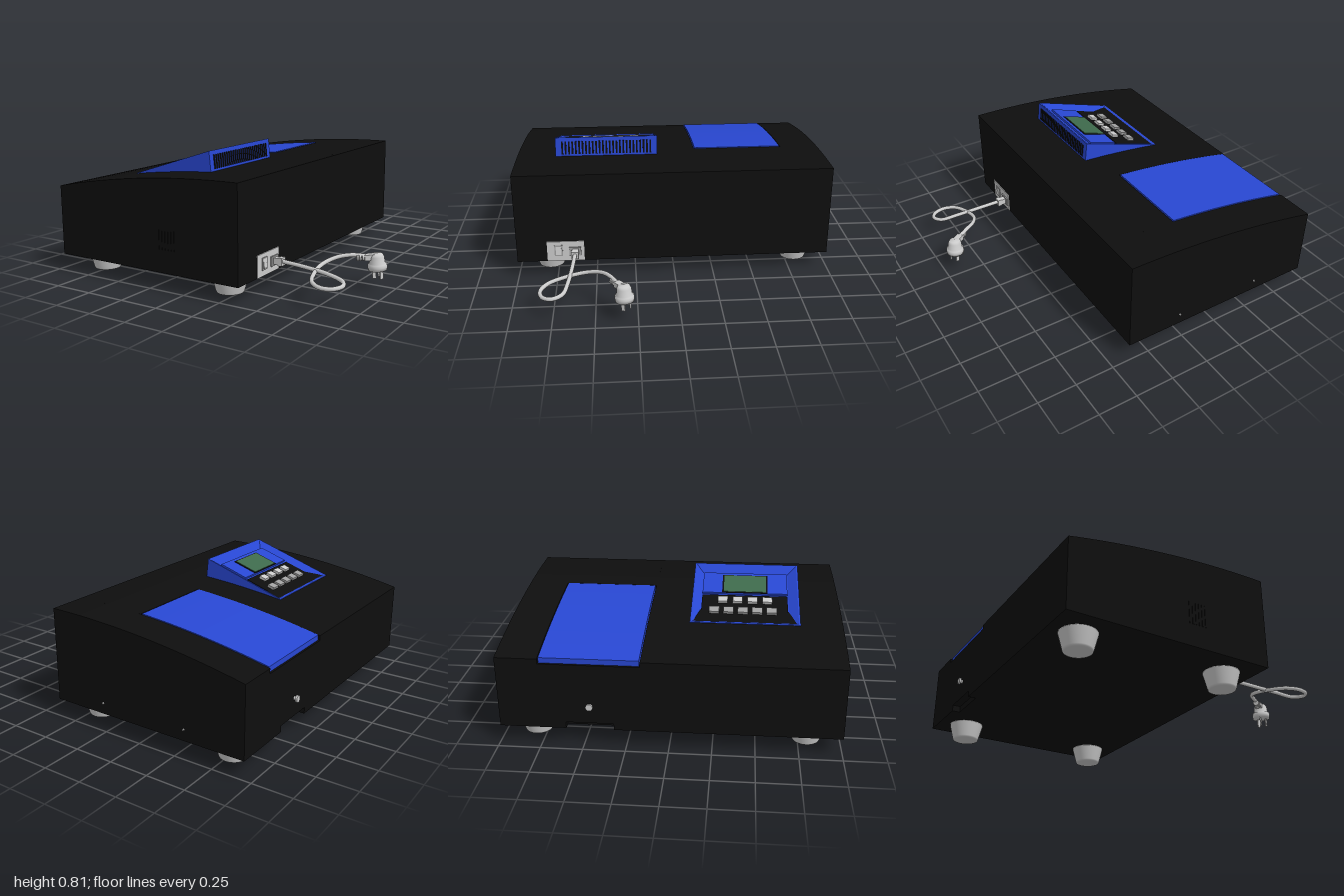
import * as THREE from 'three';

const mat = (color) => new THREE.MeshStandardMaterial({ color });
const GREY = mat(0xcccccc), BLACK = mat(0x0e0e0e), BLUE = mat(0x2847d2), GREEN = mat(0x3e6a4c), BUTTON = mat(0xa0a0a0);

function add(parent, name, geo, material, x = 0, y = 0, z = 0) {
  const m = new THREE.Mesh(geo, material);
  m.name = name;
  m.position.set(x, y, z);
  parent.add(m);
  return m;
}
const box = (w, h, d) => new THREE.BoxGeometry(w, h, d);
const cyl = (r0, r1, h, n = 24) => new THREE.CylinderGeometry(r0, r1, h, n);

// Curved top of the housing
const topY = (x) => 0.697 - 0.0826 * (x - 0.38) ** 2;
function curve(x0, x1, drop = 0, n = 20) {
  return Array.from({ length: n + 1 }, (_, i) => {
    const x = x0 + ((x1 - x0) * i) / n;
    return new THREE.Vector2(x, topY(x) - drop);
  });
}
function slab(points, z0, z1) {
  const geo = new THREE.ExtrudeGeometry(new THREE.Shape(points), { depth: z1 - z0, bevelEnabled: false });
  return geo.translate(0, 0, z0);
}
// Side outline, optionally with the lid recess and the notch under the left edge
function housingOutline(lid, notch) {
  const v = (x, y) => new THREE.Vector2(x, y);
  const base = notch ? [v(-0.95, 0.15), v(-0.9, 0.15), v(-0.9, 0.11)] : [v(-0.95, 0.11)];
  const top = lid ? [...curve(0.38, -0.075), ...curve(-0.075, -0.95, 0.03)] : curve(0.38, -0.95);
  return [...base, v(0.38, 0.11), ...top];
}

// Flat-faced skin through four-cornered loops [x0, y0, x1, y1, z0, z1], capped at the end
function loft(loops) {
  const rings = loops.map(([x0, y0, x1, y1, z0, z1]) => [[x0, y0, z1], [x1, y1, z1], [x1, y1, z0], [x0, y0, z0]]);
  const pos = [];
  const quad = (a, b, c, d) => pos.push(...a, ...b, ...c, ...a, ...c, ...d);
  for (let k = 0; k < rings.length - 1; k++) {
    for (let i = 0; i < 4; i++) {
      const j = (i + 1) % 4;
      quad(rings[k][i], rings[k][j], rings[k + 1][j], rings[k + 1][i]);
    }
  }
  quad(...rings[rings.length - 1]);
  const g = new THREE.BufferGeometry();
  g.setAttribute('position', new THREE.Float32BufferAttribute(pos, 3));
  g.computeVertexNormals();
  return g;
}

function buildConsole() {
  const g = new THREE.Group();
  g.name = 'controlConsole';
  const a = Math.atan2(0.18, 0.555), c = Math.cos(a), s = Math.sin(a);
  const at = (u, v) => [-0.54 + u * c - v * s, 0.63 + u * s + v * c];
  add(g, 'consoleShell', loft([
    [-0.54, 0.6, 0.03, 0.66, 0.09, 0.75],
    [-0.54, 0.63, 0.015, 0.81, 0.09, 0.75],
    [...at(0.01, 0), ...at(0.573, 0), 0.1, 0.74],
    [...at(0.055, -0.03), ...at(0.52, -0.03), 0.145, 0.685],
  ]), BLUE);

  // Sloping face: keypad, display and buttons
  const face = new THREE.Group();
  face.name = 'consoleFace';
  face.position.set(-0.54, 0.63, 0);
  face.rotation.z = a;
  g.add(face);
  const u = (x) => (x + 0.54) / c - 0.008;
  add(face, 'keypadPanel', box(0.22, 0.008, 0.53), BLACK, u(-0.36), -0.027, 0.415);
  add(face, 'displayPlate', box(0.2, 0.014, 0.53), BLUE, u(-0.145), -0.024, 0.415);
  add(face, 'screenBezel', box(0.175, 0.004, 0.285), BLACK, u(-0.157), -0.016, 0.415);
  add(face, 'screen', box(0.16, 0.006, 0.265), GREEN, u(-0.157), -0.0145, 0.415);
  for (let i = 0; i < 5; i++) add(face, 'button', box(0.05, 0.02, 0.062), BUTTON, u(-0.403), -0.016, 0.23 + i * 0.0875);
  for (let i = 0; i < 4; i++) add(face, 'button', box(0.047, 0.02, 0.06), GREY, u(-0.308), -0.016, 0.28 + i * 0.0915);

  // Grille slots on the upright end
  for (let i = 0; i < 27; i++) {
    const slot = add(g, 'grilleSlot', box(0.01, 0.085, 0.011), BLACK, 0.021, 0.742, 0.134 + i * 0.022);
    slot.rotation.z = 0.1;
  }
  return g;
}

function buildPowerInlet() {
  const g = new THREE.Group();
  g.name = 'powerInlet';
  add(g, 'inletPlate', box(0.012, 0.135, 0.235), GREY, 0.38, 0.18, 0.692);
  add(g, 'switchFrame', box(0.016, 0.075, 0.052), BUTTON, 0.382, 0.185, 0.737);
  add(g, 'rockerSwitch', box(0.02, 0.055, 0.035), GREY, 0.384, 0.185, 0.737).rotation.z = 0.12;
  add(g, 'socket', box(0.02, 0.06, 0.075), BUTTON, 0.384, 0.178, 0.632);
  add(g, 'connector', box(0.05, 0.04, 0.04), GREY, 0.41, 0.178, 0.63);
  add(g, 'connectorCollar', box(0.025, 0.048, 0.046), GREY, 0.438, 0.178, 0.632);
  return g;
}

function buildCable() {
  const g = new THREE.Group();
  g.name = 'powerCable';
  const path = [
    [0.44, 0.18, 0.632], [0.6, 0.173, 0.643], [0.75, 0.162, 0.66], [0.86, 0.145, 0.69], [0.893, 0.138, 0.75],
    [0.86, 0.132, 0.805], [0.79, 0.133, 0.822], [0.72, 0.142, 0.78], [0.675, 0.162, 0.66], [0.67, 0.182, 0.55],
    [0.715, 0.205, 0.465], [0.78, 0.215, 0.412], [0.85, 0.21, 0.37],
  ].map((p) => new THREE.Vector3(...p));
  add(g, 'cable', new THREE.TubeGeometry(new THREE.CatmullRomCurve3(path), 120, 0.013, 10), GREY);

  // Angled plug
  const plug = new THREE.Group();
  plug.name = 'plug';
  plug.position.set(0.91, 0.15, 0.328);
  plug.rotation.set(0, Math.atan2(-0.042, -0.06) + Math.PI, 0.08);
  g.add(plug);
  const profile = [[0, -0.025], [0.056, -0.025], [0.058, -0.005], [0.056, 0.012], [0.047, 0.016], [0.043, 0.055], [0.034, 0.072], [0, 0.076]]
    .map((p) => new THREE.Vector2(...p));
  add(plug, 'plugHead', new THREE.LatheGeometry(profile, 28), GREY);
  const arm = add(plug, 'plugArm', box(0.08, 0.034, 0.042), GREY, -0.035, 0.056, 0);
  arm.rotation.y = 0;
  for (let i = 0; i < 3; i++) add(plug, 'strainRelief', cyl(0.02, 0.02, 0.011, 14), GREY, -0.082 - i * 0.016, 0.058, 0).rotation.z = Math.PI / 2;
  for (const [x, z, turn] of [[-0.022, 0, 0], [0.016, 0.025, 0.5], [0.016, -0.025, -0.5]]) {
    add(plug, 'prong', box(0.022, 0.055, 0.009), GREY, x, -0.05, z).rotation.y = turn;
  }
  return g;
}

export function createModel() {
  const model = new THREE.Group();
  model.name = 'benchInstrument';

  // Housing in slices along z
  const cuts = [[-0.992, -0.745, 0, 0], [-0.745, -0.6, 1, 0], [-0.6, -0.32, 1, 1], [-0.32, -0.16, 1, 0], [-0.16, 1, 0, 0]];
  for (const [z0, z1, lid, notch] of cuts) add(model, 'housing', slab(housingOutline(lid, notch), z0, z1), BLACK);

  // Curved sample lid in its recess
  add(model, 'lid', slab([...curve(-0.94, -0.083, 0.031), ...curve(-0.083, -0.94, -0.003)], -0.74, -0.166), BLUE);
  model.add(buildConsole());

  // Vent slots on the front wall
  for (let i = 0; i < 6; i++) add(model, 'ventSlot', box(0.011, 0.14, 0.006), BLACK, -0.175 + i * 0.022, 0.32, 1);

  // Tapered feet
  const foot = [[0, 0], [0.074, 0], [0.082, 0.003], [0.086, 0.012], [0.11, 0.105], [0.11, 0.112], [0, 0.112]].map((p) => new THREE.Vector2(...p));
  for (const x of [-0.77, 0.19]) for (const z of [-0.81, 0.8]) add(model, 'foot', new THREE.LatheGeometry(foot, 36), GREY, x, 0, z);

  // Side knob and small pins on the rear wall
  add(model, 'knobStem', cyl(0.012, 0.012, 0.03), GREY, -0.955, 0.265, -0.455).rotation.z = Math.PI / 2;
  add(model, 'knobHead', cyl(0.021, 0.021, 0.012), GREY, -0.971, 0.265, -0.455).rotation.z = Math.PI / 2;
  for (const x of [-0.56, 0.02]) add(model, 'rearPin', cyl(0.006, 0.006, 0.012, 12), GREY, x, 0.18, -0.994).rotation.x = Math.PI / 2;

  model.add(buildPowerInlet(), buildCable());
  return model;
}
